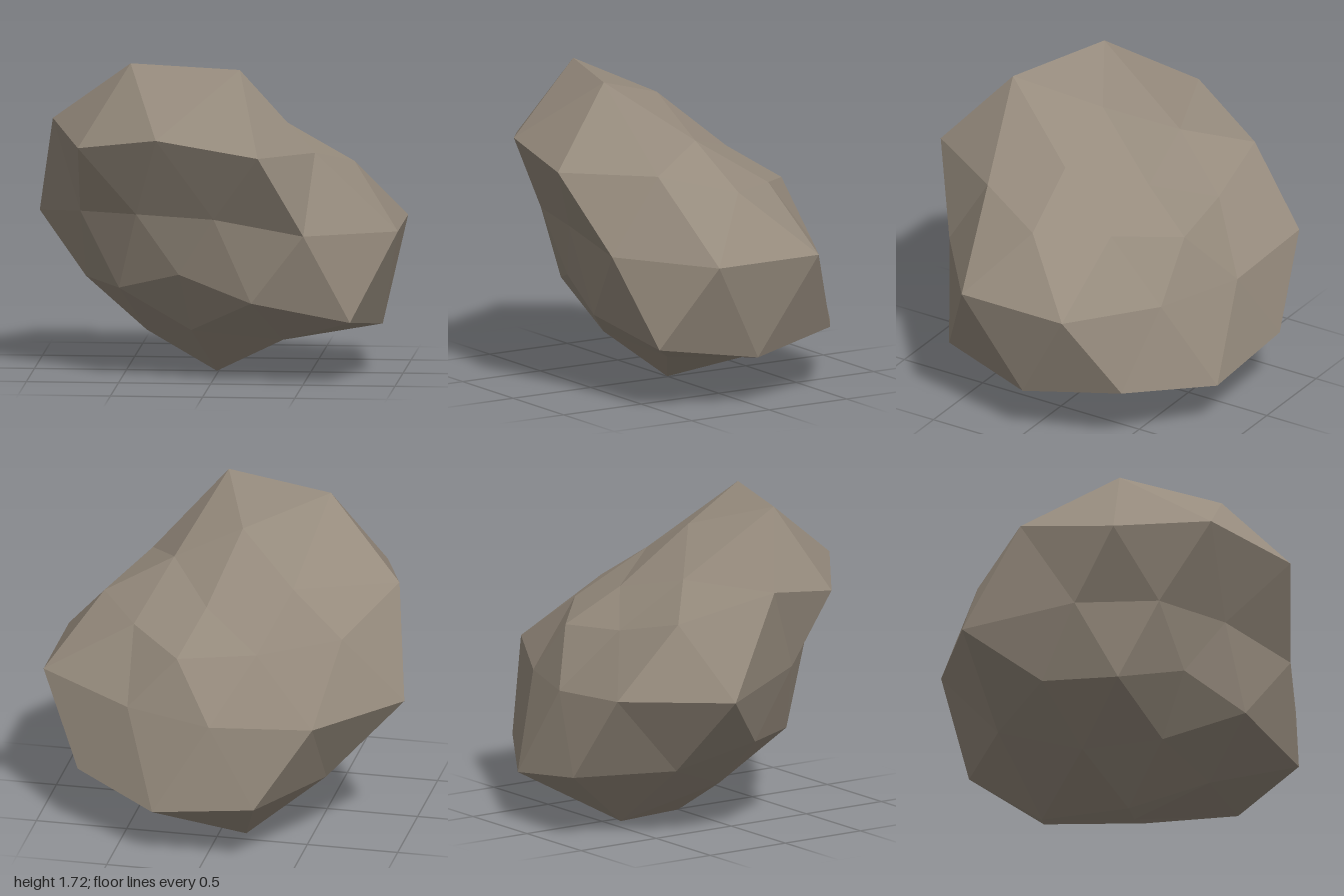
import * as THREE from 'three';

// Cross-sections of a dented icosphere, bottom to top.
// Each ring runs from +x towards +z, in equal steps of angle.
const BOTTOM = [-0.01, 0, 0];
const BASE = [ // 5 points, starting at 36 degrees
  [0.37, 0.21, 0.25], [-0.12, 0.27, 0.34], [-0.39, 0.22, 0], [-0.16, 0.03, -0.49], [0.36, 0.15, -0.28],
];
const LOWER = [ // 10 points, starting at 0 degrees
  [0.89, 0.27, 0], [0.76, 0.35, 0.55], [0.23, 0.46, 0.63], [-0.17, 0.6, 0.54], [-0.51, 0.5, 0.36],
  [-0.72, 0.51, 0], [-0.59, 0.38, -0.43], [-0.29, 0.35, -0.9], [0.28, 0.27, -0.86], [0.76, 0.35, -0.55],
];
const MIDDLE = [ // 10 points, starting at 18 degrees
  [1, 0.82, 0.32], [0.52, 0.84, 0.7], [0.03, 0.92, 0.66], [-0.4, 0.93, 0.56], [-0.73, 0.9, 0.24],
  [-1, 0.82, -0.33], [-0.6, 0.82, -0.83], [-0.02, 0.77, -0.8], [0.47, 0.77, -0.62], [1, 0.82, -0.32],
];
const UPPER = [ // 10 points, starting at 0 degrees
  [0.74, 1.16, 0.03], [0.56, 1.26, 0.43], [0.29, 1.29, 0.9], [-0.27, 1.37, 0.82], [-0.72, 1.28, 0.51],
  [-0.9, 1.37, 0], [-0.69, 1.22, -0.49], [-0.23, 1.11, -0.55], [0.2, 1.07, -0.6], [0.5, 1.13, -0.32],
];
const CROWN = [ // 5 points, starting at 0 degrees
  [0.36, 1.38, 0.06], [0.16, 1.72, 0.52], [-0.45, 1.72, 0.32], [-0.36, 1.37, -0.22], [0.1, 1.26, -0.31],
];
const TOP = [-0.02, 1.58, 0.06];

function boulderGeometry() {
  const positions = [];
  const tri = (a, b, c) => positions.push(...a, ...b, ...c);
  const at = (ring, i) => ring[i % ring.length];

  // two zigzag bands around the middle
  for (let i = 0; i < 10; i++) {
    const m0 = at(MIDDLE, i), m1 = at(MIDDLE, i + 1);
    tri(at(LOWER, i), m0, at(LOWER, i + 1));
    tri(m0, m1, at(LOWER, i + 1));
    tri(at(UPPER, i), at(UPPER, i + 1), m0);
    tri(m0, at(UPPER, i + 1), m1);
  }
  // top and bottom caps
  for (let j = 0; j < 5; j++) {
    const c0 = at(CROWN, j), c1 = at(CROWN, j + 1), u = at(UPPER, 2 * j + 1);
    tri(at(UPPER, 2 * j), c0, u);
    tri(c0, c1, u);
    tri(u, c1, at(UPPER, 2 * j + 2));
    tri(c0, TOP, c1);

    const b0 = at(BASE, j), b1 = at(BASE, j + 1), l = at(LOWER, 2 * j + 2);
    tri(at(LOWER, 2 * j), at(LOWER, 2 * j + 1), b0);
    tri(at(LOWER, 2 * j + 1), l, b0);
    tri(b0, l, b1);
    tri(b0, b1, BOTTOM);
  }
  const geometry = new THREE.BufferGeometry();
  geometry.setAttribute('position', new THREE.Float32BufferAttribute(positions, 3));
  geometry.computeVertexNormals();
  return geometry;
}

export function createModel() {
  const group = new THREE.Group();
  group.name = 'rock';
  const stone = new THREE.MeshStandardMaterial({ color: 0x968b7d, flatShading: true });
  stone.name = 'stone';
  const boulder = new THREE.Mesh(boulderGeometry(), stone);
  boulder.name = 'boulder';
  group.add(boulder);
  return group;
}
